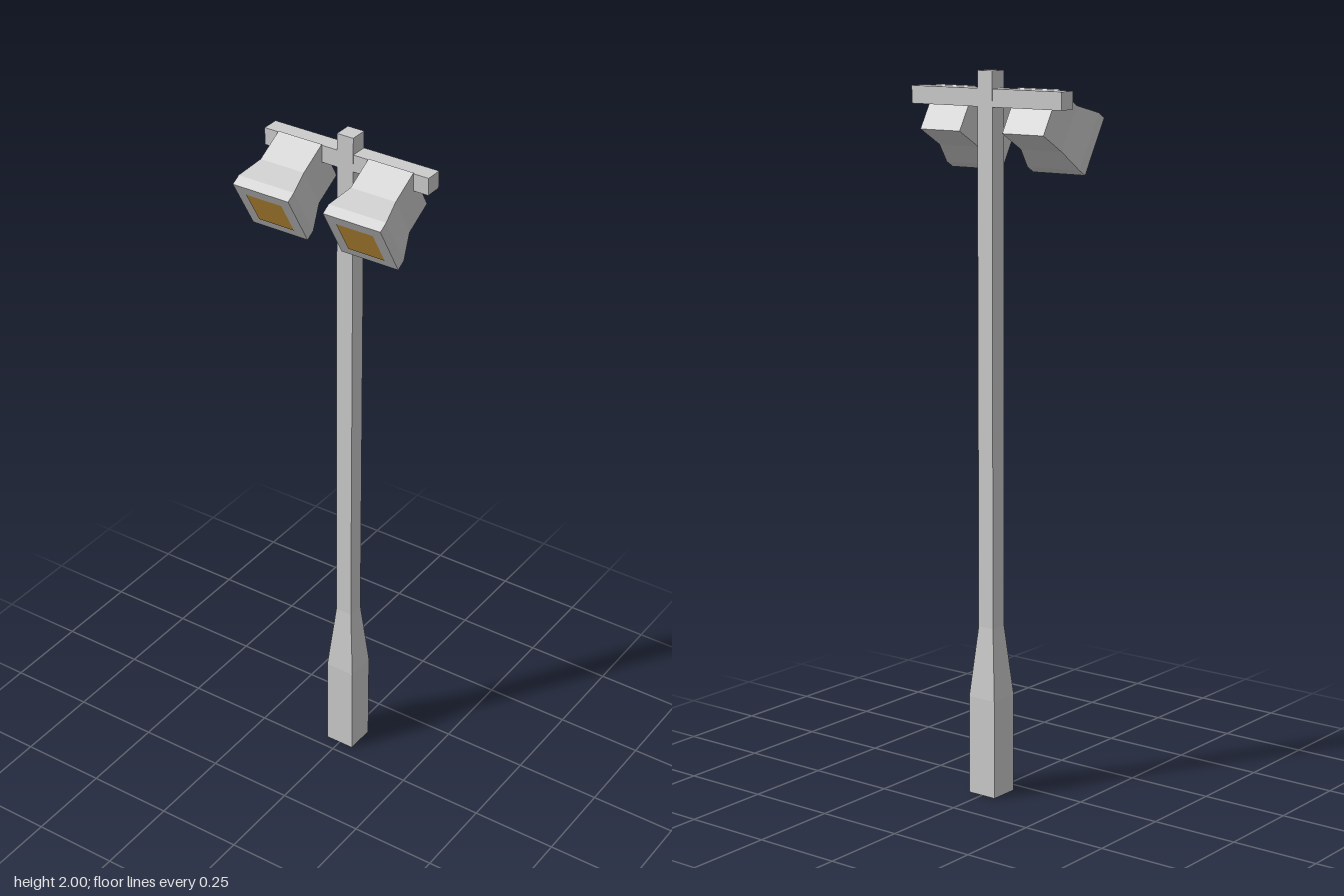
import * as THREE from 'three';

const grey = new THREE.MeshStandardMaterial({ color: 0xcccccc, flatShading: true, side: THREE.DoubleSide });
const amber = new THREE.MeshStandardMaterial({ color: 0xd09c3c });

// Joins rectangular rings [z, halfWidth, halfHeight] along +z, with optional end caps
function loft(rings, capStart, capEnd) {
  const corners = [[-1, -1], [1, -1], [1, 1], [-1, 1]];
  const points = rings.flatMap(([z, w, h]) => corners.flatMap(([x, y]) => [x * w, y * h, z]));
  const index = [];
  for (let r = 0; r < rings.length - 1; r++) {
    for (let i = 0; i < 4; i++) {
      const a = r * 4 + i, b = r * 4 + (i + 1) % 4;
      index.push(a, b, b + 4, a, b + 4, a + 4);
    }
  }
  const e = (rings.length - 1) * 4;
  if (capStart) index.push(0, 2, 1, 0, 3, 2);
  if (capEnd) index.push(e, e + 1, e + 2, e, e + 2, e + 3);
  const indexed = new THREE.BufferGeometry();
  indexed.setAttribute('position', new THREE.Float32BufferAttribute(points, 3));
  indexed.setIndex(index);
  const geometry = indexed.toNonIndexed();
  geometry.computeVertexNormals();
  return geometry;
}

function addMesh(parent, name, geometry, material) {
  const mesh = new THREE.Mesh(geometry, material);
  mesh.name = name;
  parent.add(mesh);
  return mesh;
}

export function createModel() {
  const model = new THREE.Group();
  model.name = 'floodlightPost';
  const postZ = -0.08;

  // Square post with a thicker foot, open underneath
  const post = addMesh(model, 'post', loft([
    [0, 0.044, 0.044], [0.28, 0.044, 0.044], [0.48, 0.025, 0.025], [2, 0.025, 0.025],
  ], false, true), grey);
  post.rotation.x = -Math.PI / 2;
  post.position.z = postZ;

  // Crossbar near the top
  const bar = addMesh(model, 'crossbar', new THREE.BoxGeometry(0.502, 0.048, 0.049), grey);
  bar.position.set(0, 1.929, postZ);

  // Two lamps tilted down, each with a flared hood and a square light panel
  const housing = loft([
    [-0.195, 0.0675, 0.0675], [-0.102, 0.0675, 0.0675], [-0.03, 0.086, 0.085], [0, 0.086, 0.085],
  ], true, true);
  const panel = new THREE.PlaneGeometry(0.11, 0.11);
  for (const side of [-1, 1]) {
    const lamp = new THREE.Group();
    lamp.name = side > 0 ? 'leftLamp' : 'rightLamp';
    lamp.position.set(side * 0.139, 1.8, 0.08);
    lamp.rotation.x = Math.PI / 6;
    addMesh(lamp, 'lampHousing', housing, grey);
    addMesh(lamp, 'lightPanel', panel, amber).position.z = 0.0015;
    model.add(lamp);
  }
  return model;
}
